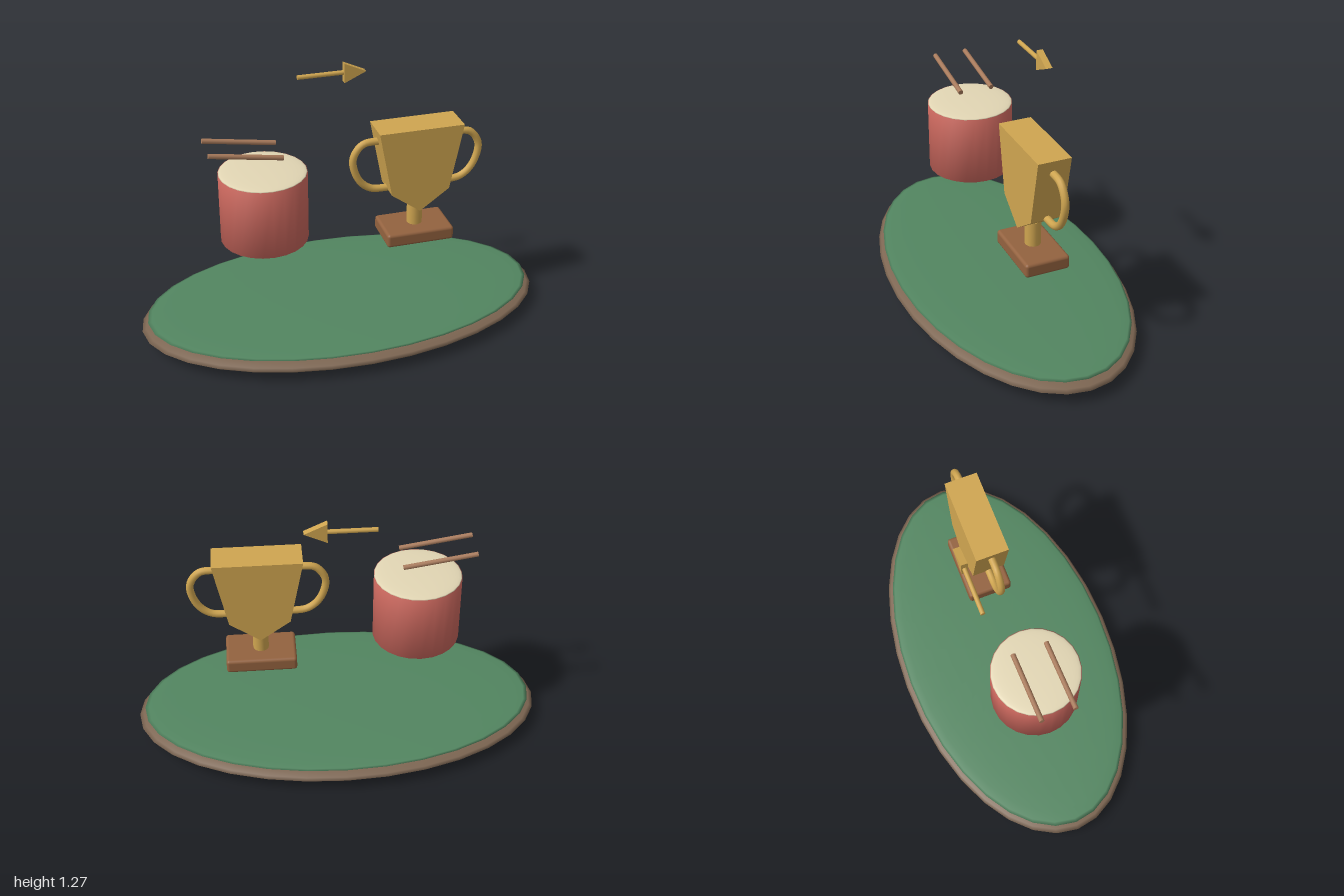
import * as THREE from 'three';
import { mergeVertices } from 'three/addons/utils/BufferGeometryUtils.js';
import { RoundedBoxGeometry } from 'three/addons/geometries/RoundedBoxGeometry.js';

const paint = (color) => new THREE.MeshStandardMaterial({ color });
const GOLD = paint(0xcfa550), WOOD = paint(0x93623f), STICK = paint(0xa97b5c);
const RED = paint(0xc8665c), CREAM = paint(0xe2d6b4), GREEN = paint(0x528560), EARTH = paint(0x7d6652);

function add(parent, name, geometry, material, x = 0, y = 0, z = 0) {
  const mesh = new THREE.Mesh(geometry, material);
  mesh.name = name;
  mesh.position.set(x, y, z);
  parent.add(mesh);
  return mesh;
}

function group(parent, name, x, y, z) {
  const g = new THREE.Group();
  g.name = name;
  g.position.set(x, y, z);
  parent.add(g);
  return g;
}

// Flat outline extruded symmetrically about z = 0
function slab(points, depth) {
  const shape = new THREE.Shape(points.map(([x, y]) => new THREE.Vector2(x, y)));
  return new THREE.ExtrudeGeometry(shape, { depth, bevelEnabled: false }).translate(0, 0, -depth / 2);
}

// Squashed sphere
const lens = (rx, ry, rz, sides = 32) => new THREE.SphereGeometry(1, sides, 16).scale(rx, ry, rz);

// Share corner vertices so shading flows across the edges
function softened(geometry) {
  geometry.deleteAttribute('uv');
  geometry.deleteAttribute('normal');
  const merged = mergeVertices(geometry);
  merged.computeVertexNormals();
  return merged;
}

export function createModel() {
  const model = new THREE.Group();
  model.name = 'trophyAndDrumIsland';

  // Oval ground with grass on top
  add(model, 'groundBase', lens(1, 0.06, 0.55), EARTH, 0, 0.06, 0);
  add(model, 'grassTop', lens(0.97, 0.02, 0.525), GREEN, 0, 0.103, 0);

  // Drum with a slightly domed skin and two sloping sticks
  const drum = group(model, 'drum', -0.38, 0, 0);
  add(drum, 'drumShell', softened(new THREE.CylinderGeometry(0.21, 0.21, 0.345, 24)), RED, 0, 0.6725, 0);
  add(drum, 'drumSkin', lens(0.208, 0.014, 0.208, 24), CREAM, 0, 0.845, 0);
  for (const side of [-1, 1]) {
    const stick = add(drum, side > 0 ? 'frontDrumstick' : 'backDrumstick',
      new THREE.CylinderGeometry(0.012, 0.012, 0.35, 10).rotateZ(Math.PI / 2), STICK, -0.09, 0.973, side * 0.08);
    stick.rotation.z = -0.16;
  }

  // Trophy
  const trophy = group(model, 'trophy', 0.375, 0, 0);
  add(trophy, 'trophyBase', new RoundedBoxGeometry(0.34, 0.07, 0.22, 3, 0.015), WOOD, 0, 0.425, 0);
  add(trophy, 'trophyStem', new THREE.CylinderGeometry(0.038, 0.038, 0.13, 16), GOLD, 0, 0.52, 0);
  add(trophy, 'trophyCup', slab([[-0.21, 0.995], [-0.145, 0.665], [0, 0.56], [0.145, 0.665], [0.21, 0.995]], 0.16), GOLD);
  for (const side of [-1, 1]) {
    const path = new THREE.CatmullRomCurve3(
      [[0.18, 0.927], [0.27, 0.917], [0.317, 0.845], [0.29, 0.735], [0.23, 0.68], [0.13, 0.67]]
        .map(([x, y]) => new THREE.Vector3(side * x, y, 0)));
    add(trophy, side > 0 ? 'leftHandle' : 'rightHandle', new THREE.TubeGeometry(path, 32, 0.018, 10), GOLD);
  }

  // Floating arrow pointing to +x
  const arrow = group(model, 'arrow', 0, 1.222, -0.168);
  add(arrow, 'arrowShaft', new THREE.CylinderGeometry(0.011, 0.011, 0.23, 10).rotateZ(Math.PI / 2), GOLD, -0.05, 0, 0);
  add(arrow, 'arrowHead', slab([[0.06, -0.049], [0.166, 0], [0.06, 0.049]], 0.032), GOLD);

  return model;
}
